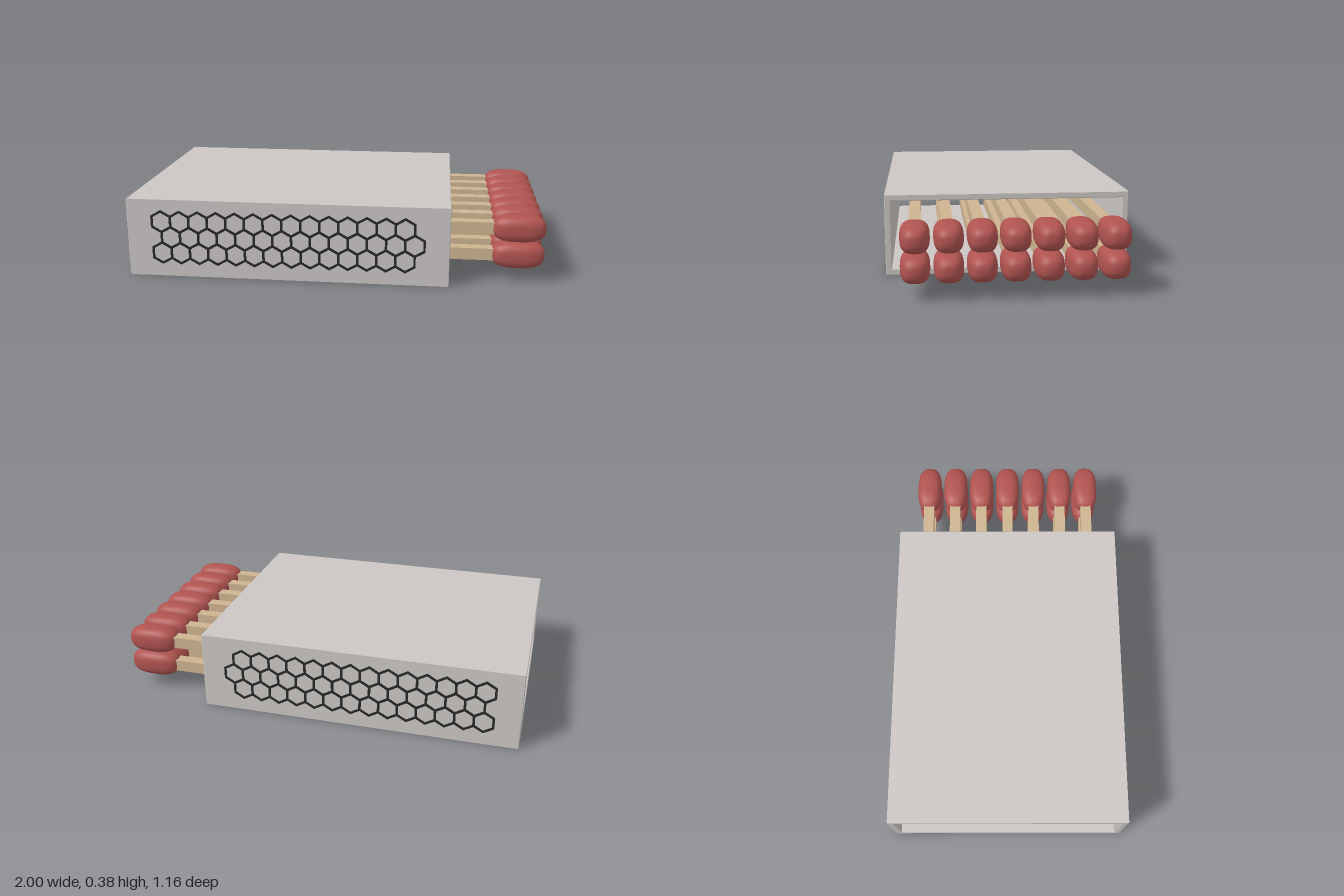
import * as THREE from 'three';
import { mergeVertices } from 'three/addons/utils/BufferGeometryUtils.js';

const card = new THREE.MeshStandardMaterial({ color: 0xcbc6c4 });
card.name = 'grey card';
const wood = new THREE.MeshStandardMaterial({ color: 0xcdb490 });
wood.name = 'pale wood';
const red = new THREE.MeshStandardMaterial({ color: 0xb05350 });
red.name = 'match red';
const ink = new THREE.MeshStandardMaterial({ color: 0x262928 });
ink.name = 'striker black';

const LEFT = -1, RIGHT = 0.55;          // ends of the sleeve
const HALF_DEPTH = 0.577, HEIGHT = 0.385;

function add(parent, name, geometry, material) {
  const mesh = new THREE.Mesh(geometry, material);
  mesh.name = name;
  parent.add(mesh);
  return mesh;
}

function rectPath(path, w, y0, y1) {
  path.moveTo(-w, y0);
  path.lineTo(w, y0);
  path.lineTo(w, y1);
  path.lineTo(-w, y1);
  path.closePath();
  return path;
}

// Rectangular tube, open at both ends, with a fine bevel on its edges
function sleeveGeometry() {
  const b = 0.003;
  const shape = rectPath(new THREE.Shape(), HALF_DEPTH - b, b, HEIGHT - b);
  shape.holes.push(rectPath(new THREE.Path(), 0.548 + b, 0.03 - b, 0.355 + b));
  const geometry = new THREE.ExtrudeGeometry(shape, {
    depth: RIGHT - LEFT - 2 * b, bevelThickness: b, bevelSize: b, bevelSegments: 1,
  });
  geometry.rotateY(Math.PI / 2);
  geometry.translate(LEFT + b, 0, 0);
  return geometry;
}

function hexPath(path, x, y, r) {
  for (let i = 0; i < 6; i++) {
    const a = Math.PI / 6 + i * Math.PI / 3;
    const px = x + r * Math.cos(a), py = y + r * Math.sin(a);
    if (i) path.lineTo(px, py); else path.moveTo(px, py);
  }
  path.closePath();
  return path;
}

// Three staggered rows of hexagon outlines
function strikerGeometry() {
  const shapes = [], step = 0.0902;
  for (let row = 0; row < 3; row++) {
    for (let i = 0; i < 14; i++) {
      const x = -0.831 + step * (i + (row === 1 ? 0.5 : 0));
      const y = 0.119 + row * 0.0783;
      const hex = hexPath(new THREE.Shape(), x, y, 0.058);
      hex.holes.push(hexPath(new THREE.Path(), x, y, 0.0455));
      shapes.push(hex);
    }
  }
  return new THREE.ExtrudeGeometry(shapes, { depth: 0.006, bevelEnabled: false });
}

// Rounded, slightly squared match head: a cube pushed onto a superellipsoid
function headGeometry() {
  let geometry = new THREE.BoxGeometry(2, 2, 2, 10, 10, 10);
  geometry.deleteAttribute('uv');
  geometry.deleteAttribute('normal');
  geometry = mergeVertices(geometry);
  const pos = geometry.attributes.position, n = 2.8;
  for (let i = 0; i < pos.count; i++) {
    const v = [pos.getX(i), pos.getY(i), pos.getZ(i)].map((c) => Math.tan(c * Math.PI / 4));
    const len = Math.pow(v.reduce((s, c) => s + Math.pow(Math.abs(c), n), 0), 1 / n);
    pos.setXYZ(i, v[0] / len * 0.126, v[1] / len * 0.0655, v[2] / len * 0.0655);
  }
  geometry.computeVertexNormals();
  return geometry;
}

export function createModel() {
  const model = new THREE.Group();
  model.name = 'matchbox';
  add(model, 'sleeve', sleeveGeometry(), card);

  // Striker patterns on the front and back faces
  const striker = strikerGeometry();
  add(model, 'frontStriker', striker, ink).position.z = HALF_DEPTH - 0.002;
  add(model, 'backStriker', striker, ink).position.z = -HALF_DEPTH - 0.004;

  // Two layers of seven matches
  const stickStart = -0.6, stickEnd = 0.8;
  const stick = new THREE.BoxGeometry(stickEnd - stickStart, 0.058, 0.056);
  const head = headGeometry();
  for (const y of [0.13, 0.261]) {
    for (let i = -3; i <= 3; i++) {
      const match = new THREE.Group();
      match.name = 'match';
      match.position.set(0, y, i * 0.1455);
      add(match, 'matchStick', stick, wood).position.x = (stickStart + stickEnd) / 2;
      add(match, 'matchHead', head, red).position.x = 0.874;
      model.add(match);
    }
  }
  return model;
}
